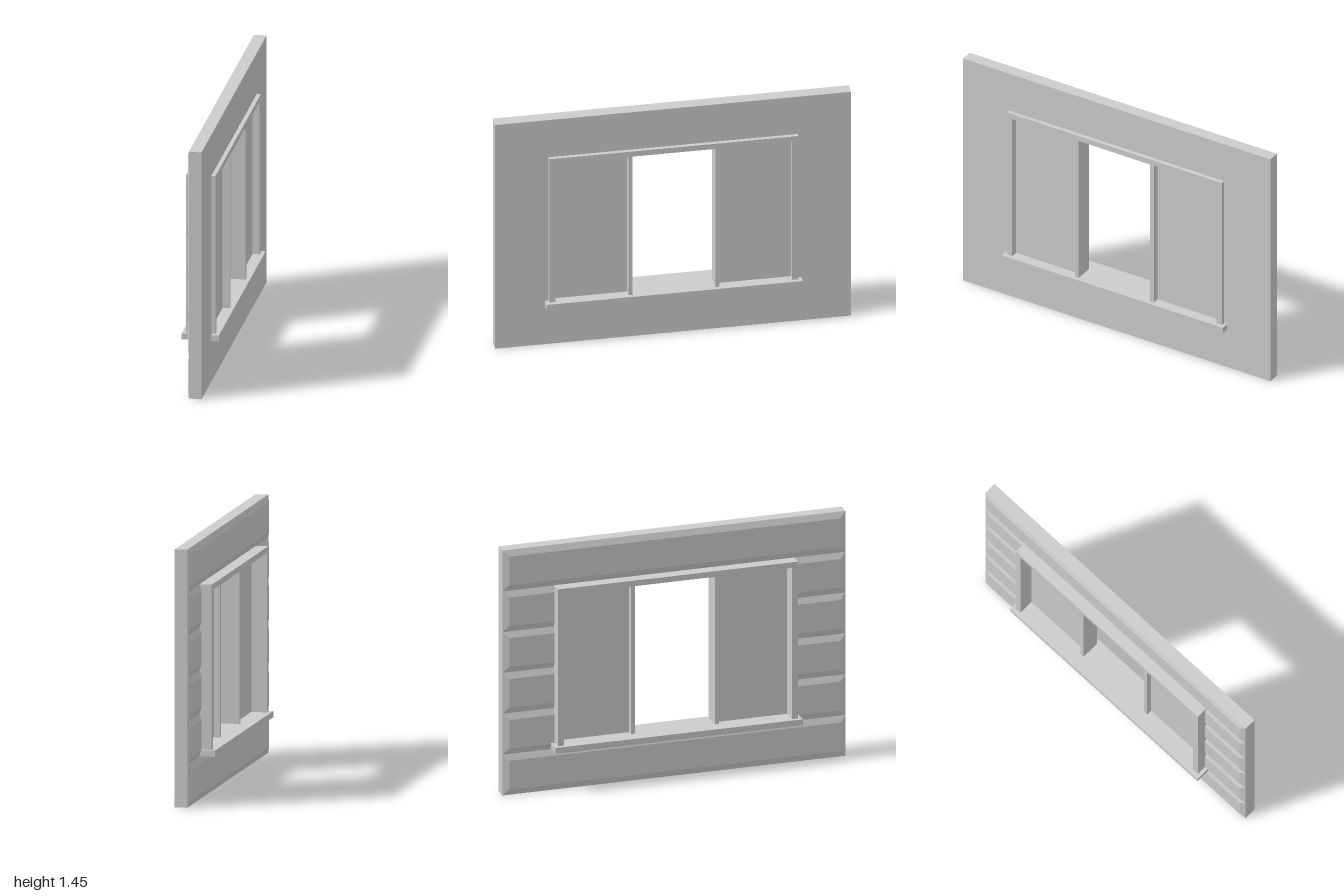
import * as THREE from 'three';

const material = new THREE.MeshStandardMaterial({ color: 0xcccccc, flatShading: true });
const HEIGHT = 1.445;
const ROWS = 6;
const BEVEL = 0.036;

export function createModel() {
  const model = new THREE.Group();

  function add(name, geometry, parent = model) {
    const mesh = new THREE.Mesh(geometry, material);
    mesh.name = name;
    parent.add(mesh);
    return mesh;
  }

  // Box given by its limits on each axis
  function block(name, [x0, x1], [y0, y1], [z0, z1], parent) {
    const geometry = new THREE.BoxGeometry(x1 - x0, y1 - y0, z1 - z0);
    geometry.translate((x0 + x1) / 2, (y0 + y1) / 2, (z0 + z1) / 2);
    return add(name, geometry, parent);
  }

  // Outline in the z-y plane, extruded through the wall from x0 to x1
  function slab(name, outline, hole, x0, x1) {
    const points = (list) => list.map(([z, y]) => new THREE.Vector2(-z, y));
    const shape = new THREE.Shape(points(outline));
    if (hole) shape.holes.push(new THREE.Path(points(hole)));
    const geometry = new THREE.ExtrudeGeometry(shape, { depth: x1 - x0, bevelEnabled: false });
    geometry.rotateY(Math.PI / 2);
    geometry.translate(x0, 0, 0);
    return add(name, geometry);
  }

  const rect = (z, y0, y1) => [[-z, y0], [z, y0], [z, y1], [-z, y1]];

  // Wall with the window opening
  slab('wall', rect(1, 0, HEIGHT), rect(0.68, 0.26, 1.19), -0.014, 0.057);

  // Cladding board: outer face drawn in along top, bottom and the wall ends
  const cladding = new THREE.Group();
  cladding.name = 'cladding';
  model.add(cladding);
  function board(row, z0, z1) {
    const h = HEIGHT / ROWS;
    const mesh = block('claddingBoard', [-0.027, -0.014], [row * h, (row + 1) * h], [z0, z1], cladding);
    const p = mesh.geometry.attributes.position;
    const middle = (row + 0.5) * h;
    for (let i = 0; i < p.count; i++) {
      if (p.getX(i) > -0.02) continue;
      p.setY(i, p.getY(i) - Math.sign(p.getY(i) - middle) * BEVEL);
      const z = p.getZ(i);
      if (Math.abs(z) > 0.99) p.setZ(i, z - Math.sign(z) * BEVEL);
    }
    mesh.geometry.computeVertexNormals();
  }
  for (let row = 0; row < ROWS; row++) {
    if (row === 0 || row === ROWS - 1) {
      board(row, -1, 1);
    } else {
      board(row, -1, -0.68);
      board(row, 0.68, 1);
    }
  }

  // Window surround: two jambs and a header in one piece
  slab('windowFrame', [
    [-0.7, 0.28], [-0.665, 0.28], [-0.665, 1.172], [0.665, 1.172],
    [0.665, 0.28], [0.7, 0.28], [0.7, 1.205], [-0.7, 1.205],
  ], null, -0.084, 0.08);

  // Sill passing through the wall
  block('sill', [-0.107, 0.103], [0.245, 0.28], [-0.72, 0.72]);

  // Fixed side panels and the posts beside the central opening
  for (const [side, s] of [['left', -1], ['right', 1]]) {
    const span = (a, b) => [Math.min(s * a, s * b), Math.max(s * a, s * b)];
    block(side + 'Panel', [0.005, 0.04], [0.28, 1.172], span(0.255, 0.665));
    block(side + 'Post', [-0.028, 0.08], [0.28, 1.172], span(0.233, 0.256));
  }

  return model;
}
